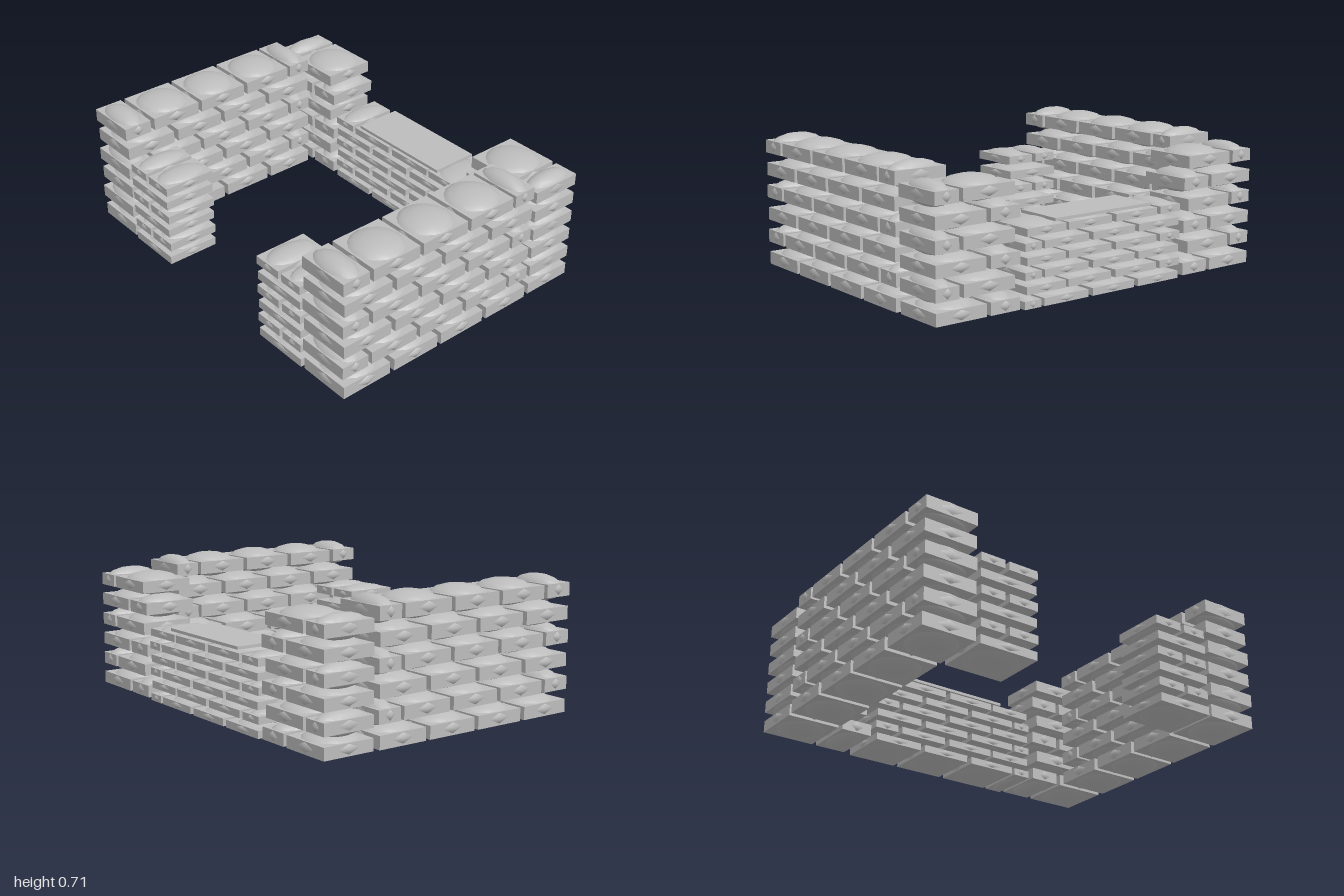
import * as THREE from 'three';

const stone = new THREE.MeshStandardMaterial({ color: 0xbcbcbc });
stone.name = 'sandbag grey';
const domeGeo = new THREE.SphereGeometry(1, 16, 8);
const boxGeo = new THREE.BoxGeometry(1, 1, 1);

// One filled bag: a squashed dome bulging through a flat seam block
function makeBag(x, y, z, w, h, d) {
  const bag = new THREE.Group();
  bag.name = 'sandbag';
  const dome = new THREE.Mesh(domeGeo, stone);
  dome.name = 'bagFilling';
  dome.scale.set(w / 2, h / 2, d / 2);
  const seam = new THREE.Mesh(boxGeo, stone);
  seam.name = 'bagSeam';
  seam.scale.set(w * 0.92, h * 0.5, d * 0.92);
  seam.position.y = -h * 0.02;
  bag.add(dome, seam);
  bag.position.set(x, y, z);
  return bag;
}

// Wall of six courses; odd and even courses use alternating [centre, length] lists.
// The wall runs along 'x' or 'z' at a fixed place on the other axis.
function makeWall(name, axis, fixed, thick, y0, step, h, odd, even) {
  const wall = new THREE.Group();
  wall.name = name;
  for (let i = 0; i < 6; i++) {
    const y = y0 + i * step;
    for (const [c, len] of i % 2 ? even : odd) {
      wall.add(axis === 'x'
        ? makeBag(c, y, fixed, len, h, thick)
        : makeBag(fixed, y, c, thick, h, len));
    }
  }
  return wall;
}

export function createModel() {
  const model = new THREE.Group();
  model.name = 'sandbagFort';

  for (const s of [-1, 1]) {
    const side = s > 0 ? 'left' : 'right';
    const flip = (list) => list.map(([c, l]) => [c * s, l]);

    // Long side walls
    model.add(makeWall(side + 'SideWall', 'z', s * 0.848, 0.304, 0.067, 0.1165, 0.132,
      [[0.6, 0.305], [0.295, 0.3], [-0.005, 0.3], [-0.305, 0.295]],
      [[0.672, 0.165], [0.435, 0.3], [0.137, 0.3], [-0.162, 0.3], [-0.382, 0.138]]));

    // Rear corner pillars
    model.add(makeWall(side + 'RearCorner', 'x', -0.61, 0.3, 0.065, 0.1075, 0.122,
      flip([[0.845, 0.3], [0.6, 0.18]]),
      flip([[0.92, 0.14], [0.69, 0.31]])));

    // Short front returns
    model.add(makeWall(side + 'FrontReturn', 'x', 0.605, 0.305, 0.052, 0.0835, 0.088,
      flip([[0.53, 0.34]]),
      flip([[0.618, 0.145], [0.447, 0.175]])));
  }

  // Low rear wall
  model.add(makeWall('rearWall', 'x', -0.61, 0.3, 0.045, 0.068, 0.075,
    [[-0.348, 0.29], [-0.055, 0.29], [0.24, 0.29], [0.44, 0.105]],
    [[-0.422, 0.145], [-0.198, 0.29], [0.097, 0.29], [0.362, 0.25]]));

  // Board resting on the low wall
  const board = new THREE.Mesh(boxGeo, stone);
  board.name = 'counterBoard';
  board.scale.set(0.6, 0.015, 0.255);
  board.position.set(0, 0.42, -0.607);
  model.add(board);

  return model;
}
